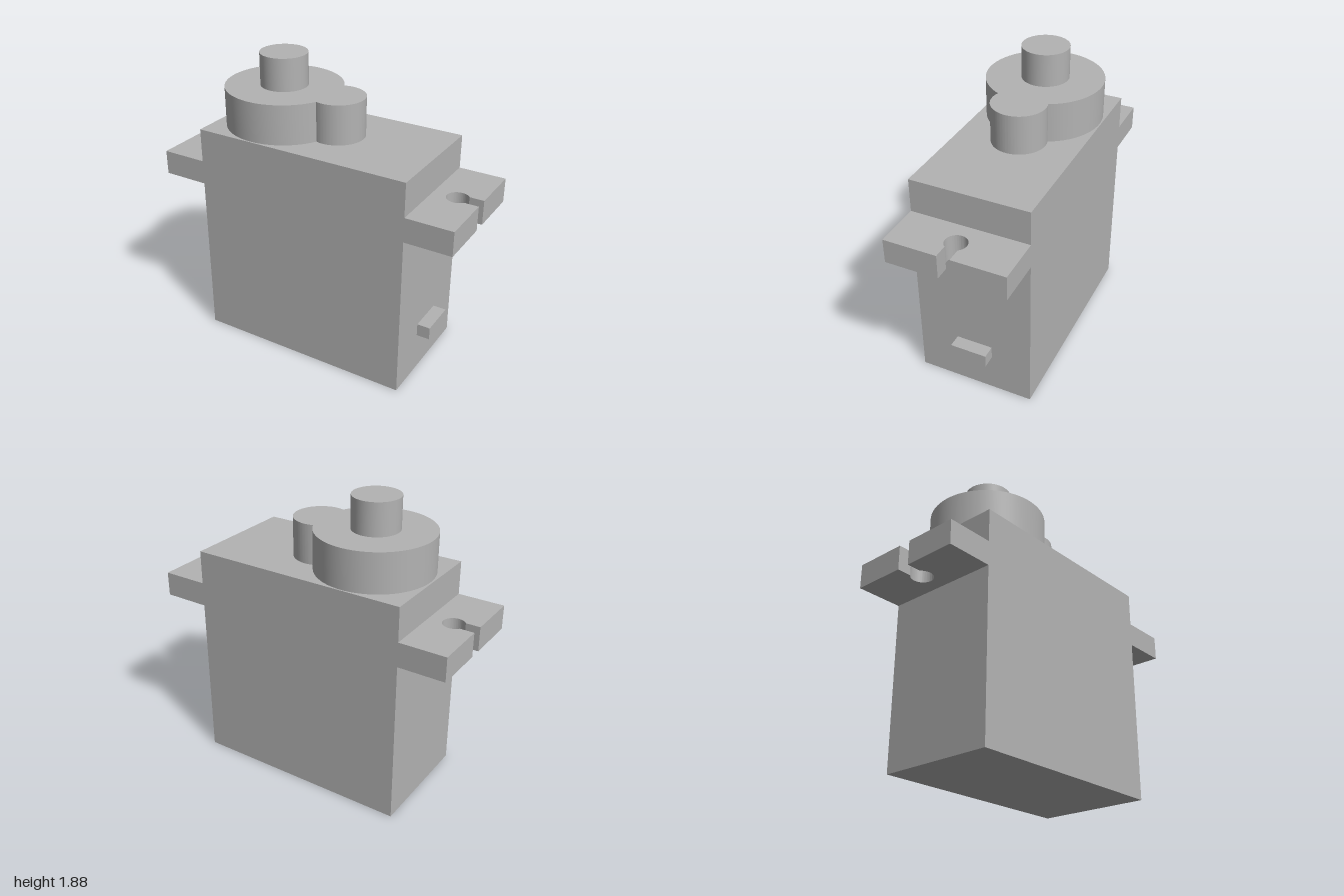
import * as THREE from 'three';
import { toCreasedNormals } from 'three/addons/utils/BufferGeometryUtils.js';

const HALF_X = 0.703, HALF_Z = 0.375, BODY_TOP = 1.425;

export function createModel() {
  const model = new THREE.Group();
  model.name = 'servoMotor';
  const grey = new THREE.MeshStandardMaterial({ color: 0xb3b3b3 });
  grey.name = 'plastic grey';

  const add = (name, geometry, x = 0, y = 0, z = 0) => {
    const mesh = new THREE.Mesh(geometry, grey);
    mesh.name = name;
    mesh.position.set(x, y, z);
    model.add(mesh);
    return mesh;
  };

  // Extrudes a plan outline upwards, smooth on curves and sharp on edges
  const extrudeUp = (shape, height) => {
    const g = new THREE.ExtrudeGeometry(shape, { depth: height, bevelEnabled: false, curveSegments: 48 });
    g.rotateX(-Math.PI / 2);
    return toCreasedNormals(g, 0.5);
  };

  // Main case
  add('case', new THREE.BoxGeometry(HALF_X * 2, BODY_TOP, HALF_Z * 2), 0, BODY_TOP / 2, 0);

  // Mounting ears with a keyhole slot open at the end
  const holeX = 0.855, holeR = 0.068, slot = 0.04;
  const a = Math.asin(slot / holeR);
  const ear = new THREE.Shape();
  ear.moveTo(HALF_X, -HALF_Z);
  ear.lineTo(1, -HALF_Z);
  ear.lineTo(1, -slot);
  ear.absarc(holeX, 0, holeR, -a, a, true);
  ear.lineTo(1, slot);
  ear.lineTo(1, HALF_Z);
  ear.lineTo(HALF_X, HALF_Z);
  ear.closePath();
  const earGeometry = extrudeUp(ear, 0.155);
  add('leftMountingEar', earGeometry, 0, 1.055, 0);
  add('rightMountingEar', earGeometry, 0, 1.055, 0).rotation.y = Math.PI;

  // Gear housing: outline of a large and a small circle joined together
  const bigX = -0.325, bigR = 0.366, smallX = 0.055, smallR = 0.17;
  const d = smallX - bigX;
  const along = (d * d + bigR * bigR - smallR * smallR) / (2 * d);
  const half = Math.sqrt(bigR * bigR - along * along);
  const bigA = Math.atan2(half, along);
  const smallA = Math.atan2(half, along - d);
  const housing = new THREE.Shape();
  housing.absarc(bigX, 0, bigR, bigA, Math.PI * 2 - bigA, false);
  housing.absarc(smallX, 0, smallR, -smallA, smallA, false);
  add('gearHousing', extrudeUp(housing, 0.25), 0, BODY_TOP, 0);

  // Output shaft
  add('outputShaft', new THREE.CylinderGeometry(0.148, 0.148, 0.205, 64), bigX, 1.7775, 0);

  // Cable outlet
  add('cableOutlet', new THREE.BoxGeometry(0.085, 0.082, 0.234), HALF_X + 0.0415, 0.295, 0);

  return model;
}
